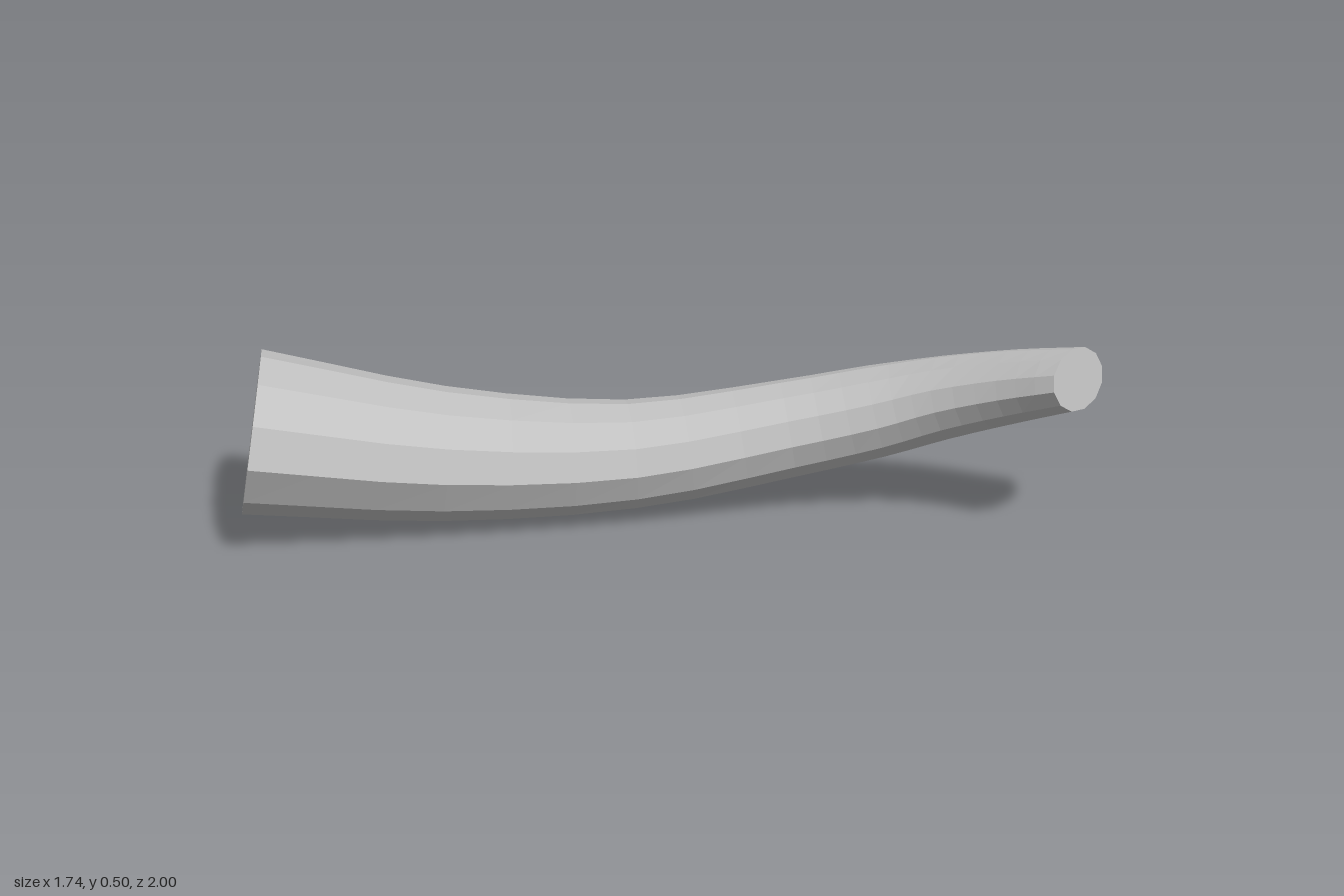
import * as THREE from 'three';

const SIDES = 12, STEPS = 21;

export function createModel() {
  const group = new THREE.Group();
  group.name = 'curvedHorn';
  const grey = new THREE.MeshStandardMaterial({ color: 0xc0c0c0, flatShading: true });
  grey.name = 'light grey';

  // Stations: left rail x,z, right rail x,z, centre height, half thickness
  const stations = [
    [-0.87, 0.65, -0.30, 1.00, 0.262, 0.208],
    [-0.55, 0.25, -0.09, 0.53, 0.180, 0.172],
    [-0.23, -0.155, 0.12, 0.06, 0.158, 0.142],
    [0.03, -0.53, 0.30, -0.325, 0.212, 0.132],
    [0.20, -0.72, 0.44, -0.505, 0.265, 0.125],
    [0.39, -0.85, 0.555, -0.60, 0.320, 0.113],
    [0.59, -0.94, 0.71, -0.675, 0.378, 0.098],
    [0.78, -1.00, 0.867, -0.72, 0.430, 0.081],
  ];
  const curve = (f) => new THREE.CatmullRomCurve3(stations.map(f));
  const left = curve((s) => new THREE.Vector3(s[0], s[4], s[1]));
  const right = curve((s) => new THREE.Vector3(s[2], s[4], s[3]));
  const centre = curve((s) => new THREE.Vector3((s[0] + s[2]) / 2, s[4], (s[1] + s[3]) / 2));
  const thick = curve((s) => new THREE.Vector3(s[5], 0, 0));

  // Elliptical rings, each square to the path
  const positions = [], index = [];
  for (let i = 0; i <= STEPS; i++) {
    const t = i / STEPS;
    const c = centre.getPoint(t);
    const across = right.getPoint(t).sub(left.getPoint(t)).multiplyScalar(0.5);
    const up = across.clone().cross(centre.getTangent(t)).setLength(thick.getPoint(t).x);
    for (let k = 0; k < SIDES; k++) {
      const a = (k / SIDES) * Math.PI * 2;
      const p = c.clone().addScaledVector(across, Math.cos(a)).addScaledVector(up, Math.sin(a));
      positions.push(p.x, p.y, p.z);
    }
  }

  // Skin between neighbouring rings
  for (let i = 0; i < STEPS; i++) {
    for (let k = 0; k < SIDES; k++) {
      const a = i * SIDES + k, b = i * SIDES + ((k + 1) % SIDES);
      index.push(a, b + SIDES, b, a, a + SIDES, b + SIDES);
    }
  }
  // Flat ends
  const last = STEPS * SIDES;
  for (let k = 1; k < SIDES - 1; k++) {
    index.push(0, k, k + 1, last, last + k + 1, last + k);
  }

  const indexed = new THREE.BufferGeometry();
  indexed.setAttribute('position', new THREE.Float32BufferAttribute(positions, 3));
  indexed.setIndex(index);
  const geometry = indexed.toNonIndexed();
  geometry.computeBoundingBox();
  geometry.translate(0, -geometry.boundingBox.min.y, 0);
  geometry.computeVertexNormals();

  const body = new THREE.Mesh(geometry, grey);
  body.name = 'hornBody';
  group.add(body);
  return group;
}
